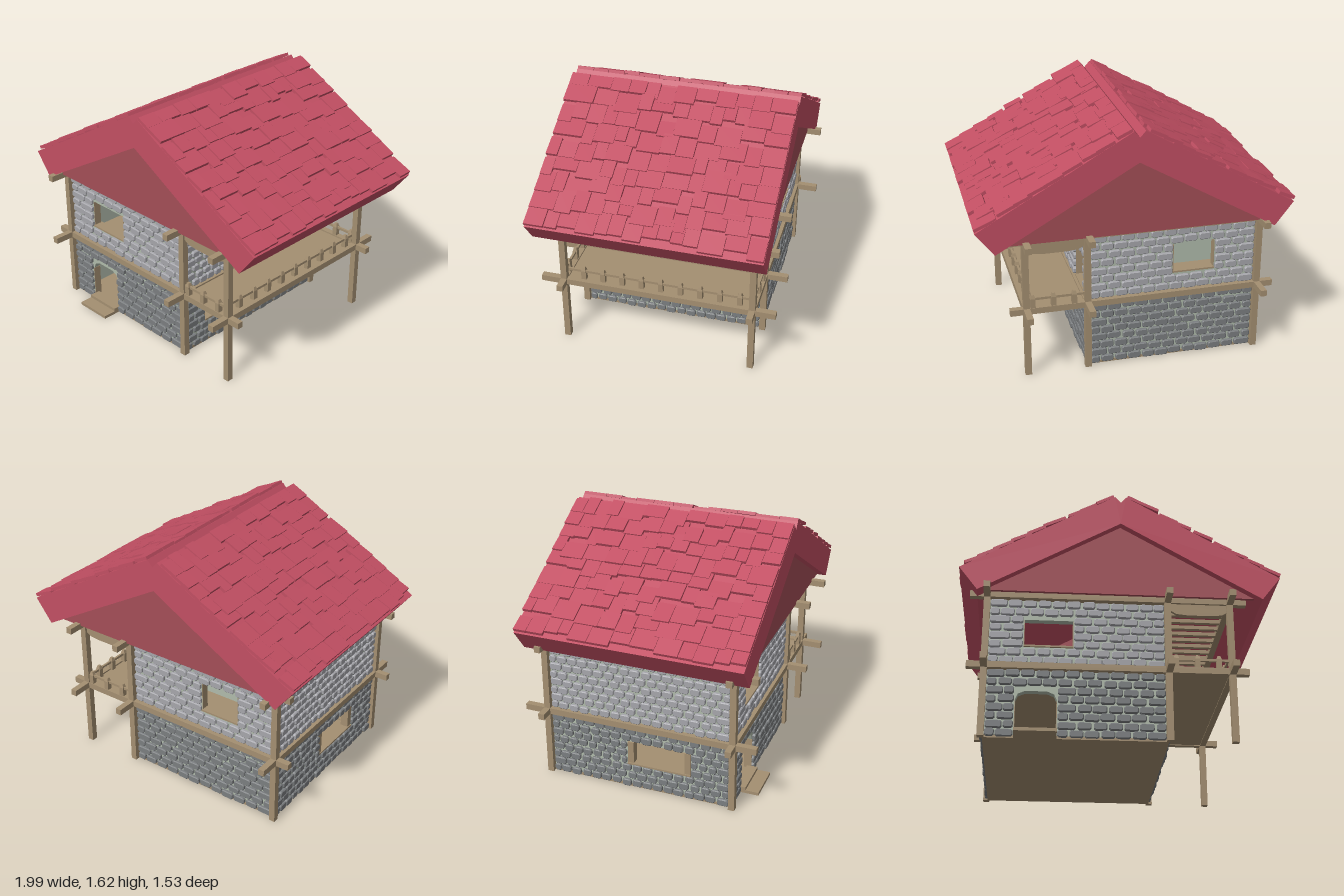
import * as THREE from 'three';
import { mergeGeometries } from 'three/addons/utils/BufferGeometryUtils.js';

const mat = (color, side = THREE.FrontSide) =>
  new THREE.MeshStandardMaterial({ color, flatShading: true, side });
const WOOD = mat(0xa48f71), PLASTER = mat(0xb0bbab), ROOF = mat(0xc24f63);
const GABLE = mat(0xa44e57, THREE.DoubleSide), METAL = mat(0xcccccc);
const STONE_LOW = mat(0x7b7e80), STONE_HIGH = mat(0xa6a6ab);

let seed = 7;
const rnd = (a, b) => {
  seed = (seed * 16807) % 2147483647;
  return a + (b - a) * seed / 2147483647;
};

function add(parent, name, geometry, material) {
  const mesh = new THREE.Mesh(geometry, material);
  mesh.name = name;
  parent.add(mesh);
  return mesh;
}

// Box given by its extents on each axis
function box(parent, name, [x0, x1], [y0, y1], [z0, z1], material = WOOD) {
  const m = add(parent, name, new THREE.BoxGeometry(x1 - x0, y1 - y0, z1 - z0), material);
  m.position.set((x0 + x1) / 2, (y0 + y1) / 2, (z0 + z1) / 2);
  return m;
}

function polygon(points) {
  return new THREE.Shape(points.map(([x, y]) => new THREE.Vector2(x, y)));
}

function extrude(shape, depth) {
  return new THREE.ExtrudeGeometry(shape, { depth, bevelEnabled: false });
}

// Cobble with cut corners and a bevelled face
function stone(w, h, x, y, z) {
  const b = 0.005, a = w / 2 - b, c = h / 2 - b, k = 0.007;
  const shape = polygon([[-a + k, -c], [a - k, -c], [a, -c + k], [a, c - k],
    [a - k, c], [-a + k, c], [-a, c - k], [-a, -c + k]]);
  const g = new THREE.ExtrudeGeometry(shape, { depth: 0.015, bevelThickness: b, bevelSize: b, bevelSegments: 1 });
  return g.translate(x, y, z);
}

// Courses of cobbles that stop at the openings
function stones(half, y0, y1, rows, size, holes) {
  const out = [], rh = (y1 - y0) / rows;
  for (let r = 0; r < rows; r++) {
    const y = y0 + rh * (r + 0.5);
    let runs = [[-half, half]];
    for (const [u0, u1, v0, v1] of holes) {
      if (y < v0 || y > v1) continue;
      runs = runs.flatMap(([a, b]) => [[a, Math.min(b, u0)], [Math.max(a, u1), b]]);
    }
    for (const [a, b] of runs) {
      if (b - a < 0.03) continue;
      const n = Math.max(1, Math.round((b - a) / size));
      const w = (b - a) / n, shift = (r % 2 ? 0.25 : -0.25) * w;
      for (let i = 0; i < n; i++) {
        const left = i ? a + i * w + shift + rnd(-0.006, 0.006) : a;
        const right = i < n - 1 ? a + (i + 1) * w + shift : b;
        out.push(stone(right - left - 0.009, rh - 0.006 - rnd(0, 0.004), (left + right) / 2,
          y + rnd(-0.003, 0.003), rnd(-0.004, 0.004)));
      }
    }
  }
  return mergeGeometries(out);
}

// Plaster wall, outer face on local +z; openings are [u0, u1, y0, y1, jamb width, corner cut]
function wall(parent, name, half, x, z, turn, holes, size, top = 0.9, rows = 8) {
  const g = new THREE.Group();
  g.name = name;
  g.position.set(x, 0, z);
  g.rotation.y = turn;
  parent.add(g);
  const shape = polygon([[-half, 0.005], [half, 0.005], [half, 0.92], [-half, 0.92]]);
  for (const [u0, u1, v0, v1, jamb, cut] of holes) {
    shape.holes.push(polygon([[u0, v0], [u0, v1 - cut], [u0 + cut * 0.3, v1 - cut * 0.3], [u0 + cut, v1],
      [u1 - cut, v1], [u1 - cut * 0.3, v1 - cut * 0.3], [u1, v1 - cut]].concat([[u1, v0]])));
    box(g, 'sill', [u0, u1], [v0 - 0.008, v0 + 0.003], [-0.055, 0.012]);
    for (const u of [u0, u1 - jamb]) box(g, 'jamb', [u, u + jamb], [v0, v1 - cut], [-0.047, 0.004]);
  }
  add(g, 'plaster', extrude(shape, 0.045).translate(0, 0, -0.045), PLASTER);
  add(g, 'lowerStones', stones(half, 0.003, 0.435, 8, size, holes), STONE_LOW);
  add(g, 'upperStones', stones(half, 0.468, top, rows, size, holes), STONE_HIGH);
}

// One roof slope, falling towards +x
function roofSide() {
  const g = new THREE.Group();
  g.name = 'roofSlope';
  const profile = polygon([[0, 1.4], [0.87, 0.9], [0.985, 1.05], [0.035, 1.595], [0, 1.555]]);
  add(g, 'roofSlab', extrude(profile, 1.45).translate(0, 0, -0.725), ROOF);
  const tiles = new THREE.Group();
  tiles.name = 'roofTiles';
  tiles.position.set(0.035, 1.595, 0);
  tiles.rotation.z = -0.521;
  const geos = [], rows = 9, step = 1.08 / rows;
  for (let r = 0; r < rows; r++) {
    let z = -0.725;
    while (z < 0.72) {
      let w = rnd(0.07, 0.16);
      if (0.725 - z - w < 0.06) w = 0.725 - z;
      const len = rnd(0.11, 0.15);
      const end = Math.min(1.088, (r + 1) * step + rnd(-0.035, 0.03));
      const start = Math.max(0.004, end - len);
      geos.push(new THREE.BoxGeometry(end - start, 0.02, w - 0.003)
        .rotateZ(rnd(0.03, 0.11)).translate((start + end) / 2, rnd(0.009, 0.02), z + w / 2));
      z += w;
    }
  }
  add(tiles, 'tiles', mergeGeometries(geos), ROOF);
  g.add(tiles);
  return g;
}

// Railing baluster with a tapered cap
function baluster(parent, x, z) {
  box(parent, 'baluster', [x - 0.016, x + 0.016], [0.465, 0.53], [z - 0.016, z + 0.016]);
  const cap = add(parent, 'balusterCap',
    new THREE.CylinderGeometry(0.012, 0.0226, 0.025, 4).rotateY(Math.PI / 4), WOOD);
  cap.position.set(x, 0.5425, z);
}

export function createModel() {
  const house = new THREE.Group();
  house.name = 'house';

  // Walls with an arched door, windows and a balcony door
  const cx = -0.257, q = Math.PI / 2, thin = 0.004;
  wall(house, 'frontWall', 0.535, cx, 0.595, 0,
    [[-0.363, -0.113, 0.022, 0.3, thin, 0.06], [-0.323, -0.023, 0.595, 0.77, thin, 0.005]], 0.088);
  wall(house, 'backWall', 0.535, cx, -0.595, Math.PI, [[0, 0.27, 0.595, 0.785, thin, 0.005]], 0.088);
  wall(house, 'balconyWall', 0.595, 0.285, 0, q,
    [[-0.43, 0.21, 0.17, 0.335, thin, 0.005], [0.26, 0.51, 0.475, 0.73, thin, 0.005]], 0.068, 0.83, 7);
  wall(house, 'sideWall', 0.595, -0.795, 0, -q, [[-0.08, 0.34, 0.17, 0.325, 0.04, 0.005]], 0.068);
  box(house, 'upperPartition', [-0.77, 0.25], [0.46, 0.92], [-0.24, -0.21], PLASTER);

  // Floors and door step
  box(house, 'groundFloor', [-0.8, 0.29], [0, 0.018], [-0.6, 0.6]);
  box(house, 'upperFloor', [-0.79, 0.68], [0.435, 0.46], [-0.61, 0.61]);
  box(house, 'doorStep', [-0.62, -0.37], [0, 0.02], [0.59, 0.725]);
  box(house, 'doorStepTop', [-0.62, -0.37], [0.02, 0.04], [0.57, 0.64]);

  // Timber frame
  const columns = [-0.81, 0.295, 0.68], t = 0.02;
  for (const x of columns) {
    for (const z of [-0.615, 0.615])
      box(house, 'post', [x - t, x + t], [0, 0.92], [z - t, z + t]);
    for (const y of [0.45, 0.92])
      box(house, 'longBeam', [x - t, x + t], [y - t, y + t], [-0.765, 0.765]);
  }
  for (const y of [0.45, 0.92]) for (const z of [-0.615, 0.615])
    box(house, 'crossBeam', [-0.915, 0.782], [y - t, y + t], [z - t, z + t]);

  // Balcony ceiling: wall plate, shaped end boards and rafters
  box(house, 'wallPlate', [0.285, 0.315], [0.83, 0.91], [-0.6, 0.6]);
  const endBoard = polygon([[0.31, 0.91], [0.31, 0.855], [0.35, 0.832], [0.42, 0.825], [0.56, 0.825],
    [0.63, 0.832], [0.67, 0.855], [0.67, 0.91]]);
  for (const z of [-0.62, 0.6])
    add(house, 'endBoard', extrude(endBoard, 0.02), WOOD).position.z = z;
  for (let i = 0; i < 13; i++) {
    const z = -0.54 + i * 0.09;
    box(house, 'rafter', [0.3, 0.67], [0.902, 0.926], [z - 0.014, z + 0.014]);
  }

  // Balcony railing
  const railing = new THREE.Group();
  railing.name = 'railing';
  house.add(railing);
  for (let i = 0; i < 9; i++) baluster(railing, 0.655, 0.49 - i * 0.1275);
  for (let i = 0; i < 3; i++) {
    baluster(railing, 0.34 + i * 0.13, 0.615);
    baluster(railing, 0.38 + i * 0.13, -0.615);
  }
  box(railing, 'sideRail', [0.648, 0.662], [0.518, 0.534], [-0.61, 0.61]);
  for (const z of [-0.615, 0.615])
    box(railing, 'endRail', [0.3, 0.68], [0.518, 0.534], [z - 0.007, z + 0.007]);

  // Awning strips and tap at the serving window
  for (let i = 0; i < 14; i++) {
    const z = -0.187 + i * 0.0458;
    box(house, 'awningStrip', [0.25, 0.316], [0.302, 0.34], [z - 0.021, z + 0.021], ROOF);
  }
  add(house, 'tap', new THREE.CylinderGeometry(0.004, 0.004, 0.04, 6), METAL).position.set(0.26, 0.19, 0.05);
  box(house, 'tapHandle', [0.256, 0.264], [0.183, 0.19], [0.033, 0.067], METAL);

  // Roof slopes and gables
  const right = roofSide(), left = roofSide();
  left.rotation.y = Math.PI;
  house.add(right, left);
  const gable = polygon([[-0.85, 0.925], [0.85, 0.925], [0, 1.41]]);
  for (const z of [-0.675, 0.655])
    add(house, 'gable', extrude(gable, 0.02), GABLE).position.z = z;

  return house;
}
